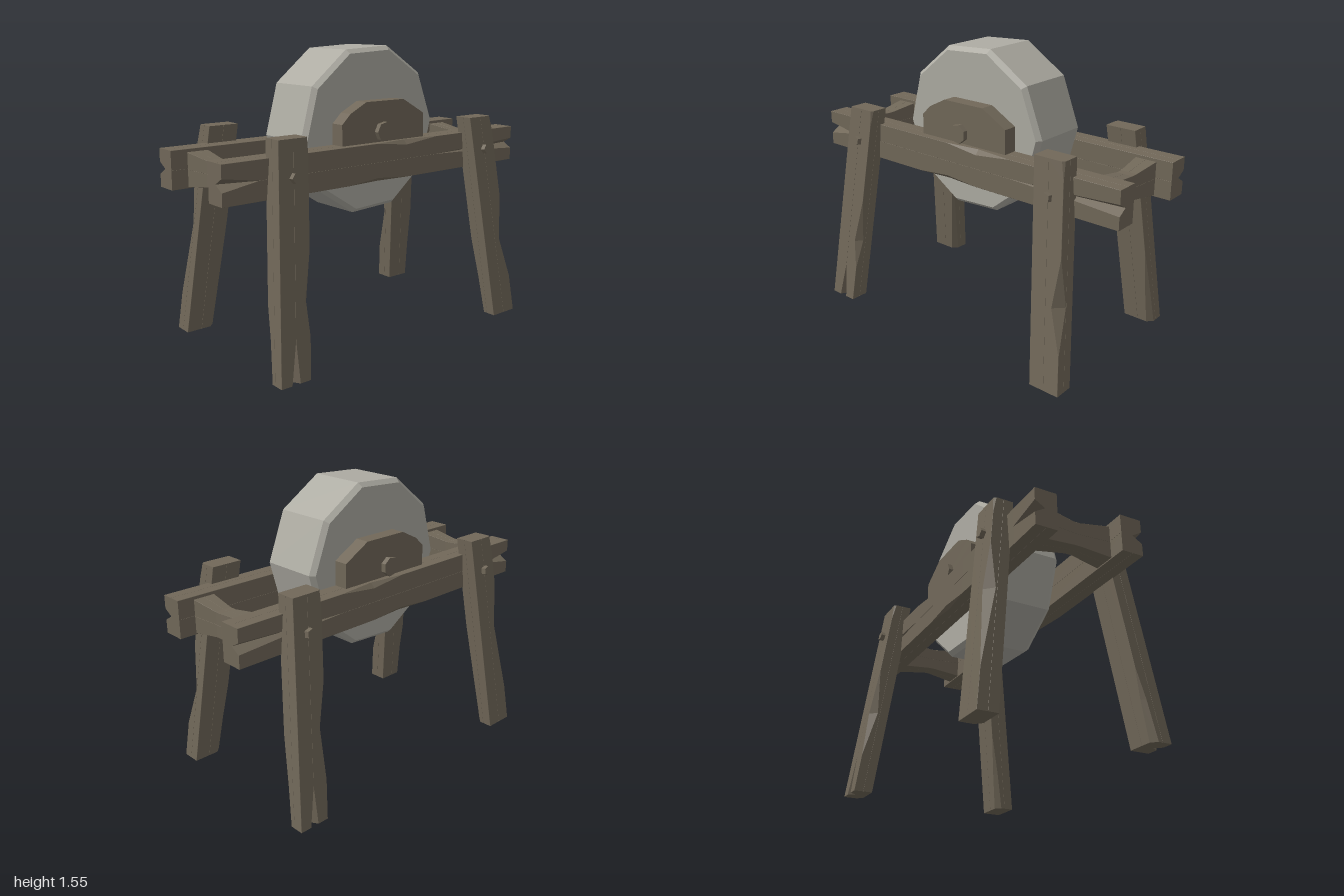
import * as THREE from 'three';

const wood = new THREE.MeshStandardMaterial({ color: 0x716859 });
wood.name = 'weathered wood';
const stone = new THREE.MeshStandardMaterial({ color: 0xaeaca3 });
stone.name = 'grey stone';

function faceted(geometry) {
  const g = geometry.index ? geometry.toNonIndexed() : geometry;
  g.computeVertexNormals();
  return g;
}

function part(name, geometry, material, parent) {
  const mesh = new THREE.Mesh(faceted(geometry), material);
  mesh.name = name;
  parent.add(mesh);
  return mesh;
}

// Rough timber along y. Each station: t (0..1), chip per corner, split depth per side, section scale.
// Corners: (+x+z) (-x+z) (-x-z) (+x-z). Sides: +z, -x, -z, +x.
function beam(w, d, length, stations) {
  const corners = [[1, 1], [-1, 1], [-1, -1], [1, -1]];
  const normals = [[0, 1], [-1, 0], [0, -1], [1, 0]];
  const rings = stations.map(({ t, chip = [0, 0, 0, 0], split = [0, 0, 0, 0], s = 1 }) => {
    const points = [];
    corners.forEach(([cx, cz], i) => {
      const [nx, nz] = normals[i], [px, pz] = normals[(i + 3) % 4];
      const c = Math.max(chip[i], 0.001), g = Math.max(split[i], 0.001);
      const x = cx * w / 2, z = cz * d / 2;
      points.push([x - nx * c, z - nz * c], [x - px * c, z - pz * c]);
      const fx = nx * w / 2, fz = nz * d / 2;   // centre of the side
      const tx = -nz, tz = nx;                  // direction along the side
      for (const [along, depth] of [[-0.6, 0], [0, 1], [0.6, 0]]) {
        points.push([fx + tx * along * g - nx * depth * g, fz + tz * along * g - nz * depth * g]);
      }
    });
    return points.map(([x, z]) => new THREE.Vector3(x * s, t * length, z * s));
  });
  const n = rings[0].length, index = [];
  for (let k = 0; k < rings.length - 1; k++) {
    for (let i = 0; i < n; i++) {
      const a = k * n + i, b = k * n + (i + 1) % n;
      index.push(a, a + n, b + n, a, b + n, b);
    }
  }
  for (const [k, up] of [[0, -1], [rings.length - 1, 1]]) {
    const flat = rings[k].map(p => new THREE.Vector2(p.x, p.z));
    for (const [a, b, c] of THREE.ShapeUtils.triangulateShape(flat, [])) {
      const area = THREE.ShapeUtils.area([flat[a], flat[b], flat[c]]);
      const o = k * n;
      if (area * up < 0) index.push(o + a, o + b, o + c);
      else index.push(o + a, o + c, o + b);
    }
  }
  const g = new THREE.BufferGeometry().setFromPoints(rings.flat());
  g.setIndex(index);
  return g;
}

export function createModel() {
  const model = new THREE.Group();
  model.name = 'grindstone';

  // Grinding wheel with bevelled rims
  const profile = [[0, -0.18], [0.432, -0.18], [0.455, -0.155], [0.455, 0.155], [0.432, 0.18], [0, 0.18]]
    .map(p => new THREE.Vector2(...p));
  const wheel = new THREE.LatheGeometry(profile, 10, THREE.MathUtils.degToRad(3));
  part('grindingWheel', wheel.rotateZ(-Math.PI / 2), stone, model).position.y = 1.115;

  // Axle
  const axle = new THREE.CylinderGeometry(0.052, 0.052, 0.57, 7).rotateZ(Math.PI / 2);
  part('axle', axle, wood, model).position.y = 1.115;

  // Bearing blocks resting on the rails
  const block = new THREE.Shape([[0.3, 1.0], [0.3, 1.19], [0.15, 1.275], [-0.11, 1.275],
    [-0.215, 1.222], [-0.27, 1.17], [-0.27, 1.0]].map(p => new THREE.Vector2(...p)));
  for (const side of [-1, 1]) {
    const g = new THREE.ExtrudeGeometry(block, { depth: 0.08, bevelEnabled: false }).rotateY(Math.PI / 2);
    part(side > 0 ? 'leftBearing' : 'rightBearing', g, wood, model).position.x = side > 0 ? 0.178 : -0.258;
  }

  // Long rails, split at the ends and chipped along the edges
  for (const side of [-1, 1]) {
    const split = v => (side > 0 ? [0, 0, 0, v] : [0, v, 0, 0]);
    const chip = (low, top) => (side > 0 ? [low, 0, 0, top] : [0, low, top, 0]);
    const g = beam(0.12, 0.2, 2, [
      { t: 0, split: split(0.05) },
      { t: 0.12, split: split(0.025) },
      { t: 0.32, split: split(0) },
      { t: 0.43, chip: chip(0, 0.025) },
      { t: 0.53, chip: chip(0.018, 0) },
      { t: 0.63 },
      { t: 0.9, split: split(0) },
      { t: 1, split: split(0.055) },
    ]).rotateX(Math.PI / 2);
    part(side > 0 ? 'leftRail' : 'rightRail', g, wood, model).position.set(side * 0.24, 0.96, -1);
  }

  // Waisted cross bars between the rails
  for (const end of [-1, 1]) {
    const g = beam(0.18, 0.12, 0.38, [{ t: 0 }, { t: 0.45, s: 0.74 }, { t: 0.55, s: 0.74 }, { t: 1 }])
      .rotateZ(-Math.PI / 2);
    part(end > 0 ? 'frontCrossBar' : 'backCrossBar', g, wood, model).position.set(-0.19, 0.955, end * 0.85);
  }

  // Splayed legs: height and depth of the main chip, its corner and the split in the foot
  const legs = [
    { x: 1, z: 1, name: 'frontLeftLeg', corner: 3, mid: 0.32, size: 0.035, foot: [0, 0, 0, 0.04] },
    { x: 1, z: -1, name: 'backLeftLeg', corner: 3, mid: 0.38, size: 0.05, foot: [0, 0, 0, 0] },
    { x: -1, z: 1, name: 'frontRightLeg', corner: 1, mid: 0.54, size: 0.045, foot: [0, 0, 0, 0] },
    { x: -1, z: -1, name: 'backRightLeg', corner: 1, mid: 0.4, size: 0.04, foot: [0, 0.04, 0, 0] },
  ];
  for (const leg of legs) {
    const chip = (i, v) => [0, 1, 2, 3].map(k => (k === i ? v : 0));
    const opposite = (leg.corner + 2) % 4;
    const g = beam(0.105, 0.172, 1.15, [
      { t: 0, split: leg.foot, chip: chip(opposite, 0.03) },
      { t: 0.18, chip: chip(opposite, 0.02) },
      { t: leg.mid, chip: chip(leg.corner, leg.size) },
      { t: leg.mid + 0.22 },
      { t: 0.92 },
      { t: 1, chip: chip(leg.corner, 0.012) },
    ]);
    // Lean the leg inwards while keeping its ends level
    const p = g.attributes.position;
    for (let i = 0; i < p.count; i++) {
      const y = p.getY(i);
      p.setX(i, p.getX(i) + leg.x * (0.4525 - 0.122 * y));
      p.setZ(i, p.getZ(i) + leg.z * (0.75 - 0.089 * y));
    }
    part(leg.name, g, wood, model);

    // Peg through the leg into the rail
    const peg = new THREE.CylinderGeometry(0.026, 0.034, 0.12, 5).rotateZ(-leg.x * Math.PI / 2);
    const mesh = part(leg.name + 'Peg', peg, wood, model);
    mesh.position.set(leg.x * 0.352, 0.963, leg.z * 0.663);
    mesh.rotation.z = leg.x * 0.12;
  }
  return model;
}
